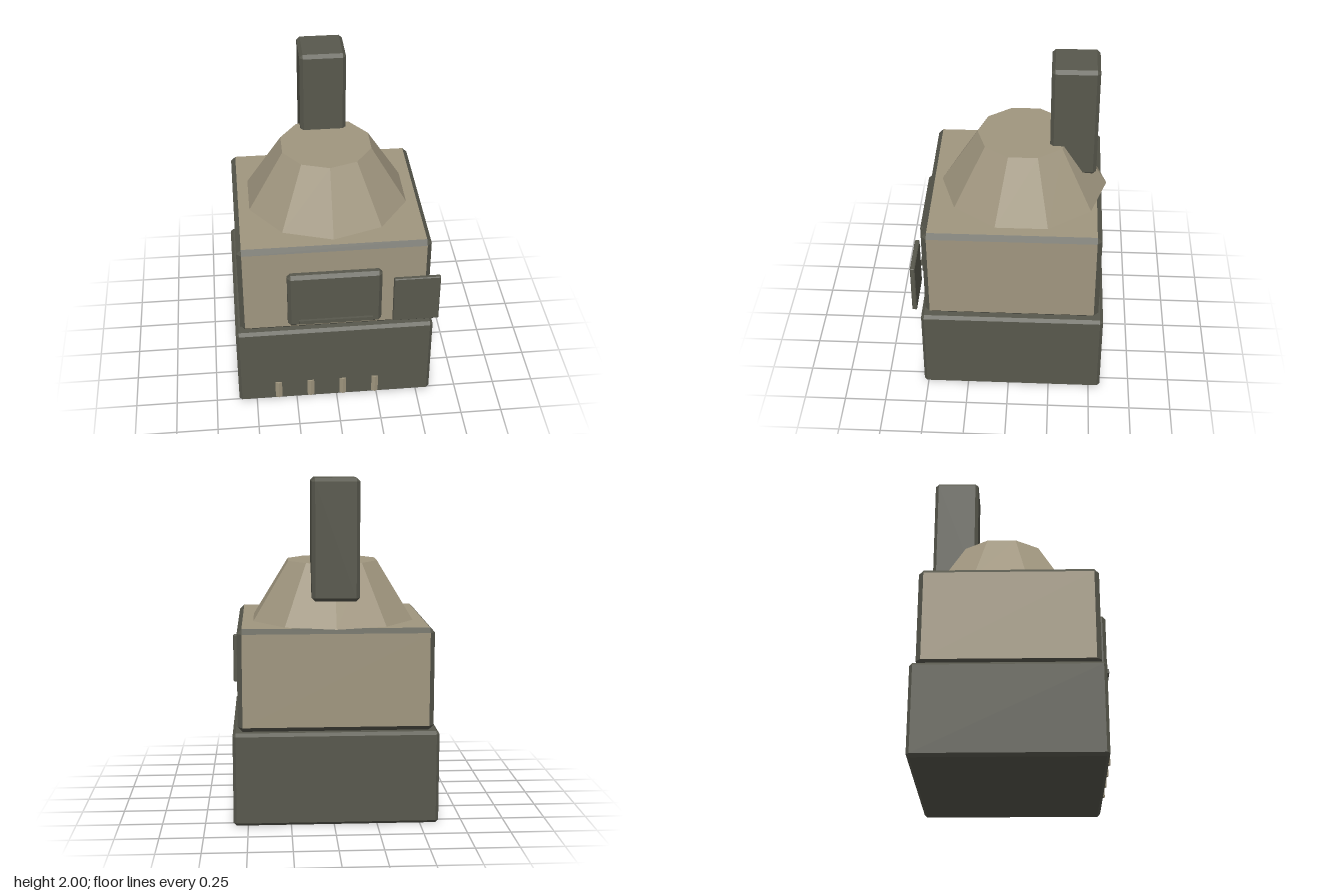
import * as THREE from 'three';
import { ConvexGeometry } from 'three/addons/geometries/ConvexGeometry.js';

const stone = new THREE.MeshStandardMaterial({ color: 0xa0967f });
stone.name = 'tan stone';
const dark = new THREE.MeshStandardMaterial({ color: 0x58584d });
dark.name = 'dark olive grey';

// Box with one flat chamfer along every edge; group 0 = main faces, group 1 = chamfers.
function chamferBox(min, max, c) {
  const h = min.map((v, i) => (max[i] - v) / 2);
  const points = [];
  for (const sx of [-1, 1]) for (const sy of [-1, 1]) for (const sz of [-1, 1]) {
    const s = [sx, sy, sz];
    for (let axis = 0; axis < 3; axis++) {
      points.push(new THREE.Vector3(...s.map((v, i) => v * (h[i] - (i === axis ? 0 : c)))));
    }
  }
  const geo = new ConvexGeometry(points);
  const n = geo.attributes.normal;
  for (let i = 0; i < n.count; i += 3) {
    const flat = Math.max(Math.abs(n.getX(i)), Math.abs(n.getY(i)), Math.abs(n.getZ(i))) > 0.99;
    geo.addGroup(i, 3, flat ? 0 : 1);
  }
  return geo.translate(...min.map((v, i) => v + h[i]));
}

export function createModel() {
  const model = new THREE.Group();
  model.name = 'stove';
  const add = (name, geo, material) => {
    const mesh = new THREE.Mesh(geo, material);
    mesh.name = name;
    model.add(mesh);
    return mesh;
  };
  const darkBox = (name, min, max, c) => add(name, chamferBox(min, max, c), [dark, dark]);

  // Base and body (tan faces, dark chamfered edges)
  darkBox('base', [-0.61, 0, -0.57], [0.585, 0.55, 0.525], 0.018);
  add('body', chamferBox([-0.58, 0.55, -0.54], [0.555, 1.15, 0.5], 0.028), [stone, dark]);

  // Ten-sided hood
  const hoodMaterial = stone;
  const hoodGeo = new THREE.CylinderGeometry(0.278, 0.498, 0.35, 10).toNonIndexed();
  hoodGeo.computeVertexNormals();
  add('hood', hoodGeo, hoodMaterial).position.set(-0.0125, 1.326, -0.072);

  // Chimney, sunk into the back of the hood
  darkBox('chimney', [-0.15, 1.3, -0.5], [0.125, 2, -0.225], 0.02);

  // Front panel with a narrow ledge, and the plate beside it
  darkBox('frontPanel', [-0.295, 0.605, 0.44], [0.265, 0.98, 0.545], 0.02);
  const ledge = add('panelLedge', new THREE.BoxGeometry(0.44, 0.025, 0.06), dark);
  ledge.position.set(-0.01, 0.647, 0.53);
  darkBox('sidePlate', [0.33, 0.625, 0.54], [0.605, 0.94, 0.568], 0.005);

  // Row of small pegs along the foot of the base
  const pegGeo = new THREE.CylinderGeometry(0.024, 0.024, 0.12, 6).toNonIndexed();
  pegGeo.computeVertexNormals();
  for (let i = 0; i < 4; i++) {
    add('peg' + (i + 1), pegGeo, stone).position.set(-0.3625 + i * 0.2, 0.085, 0.514);
  }
  return model;
}
